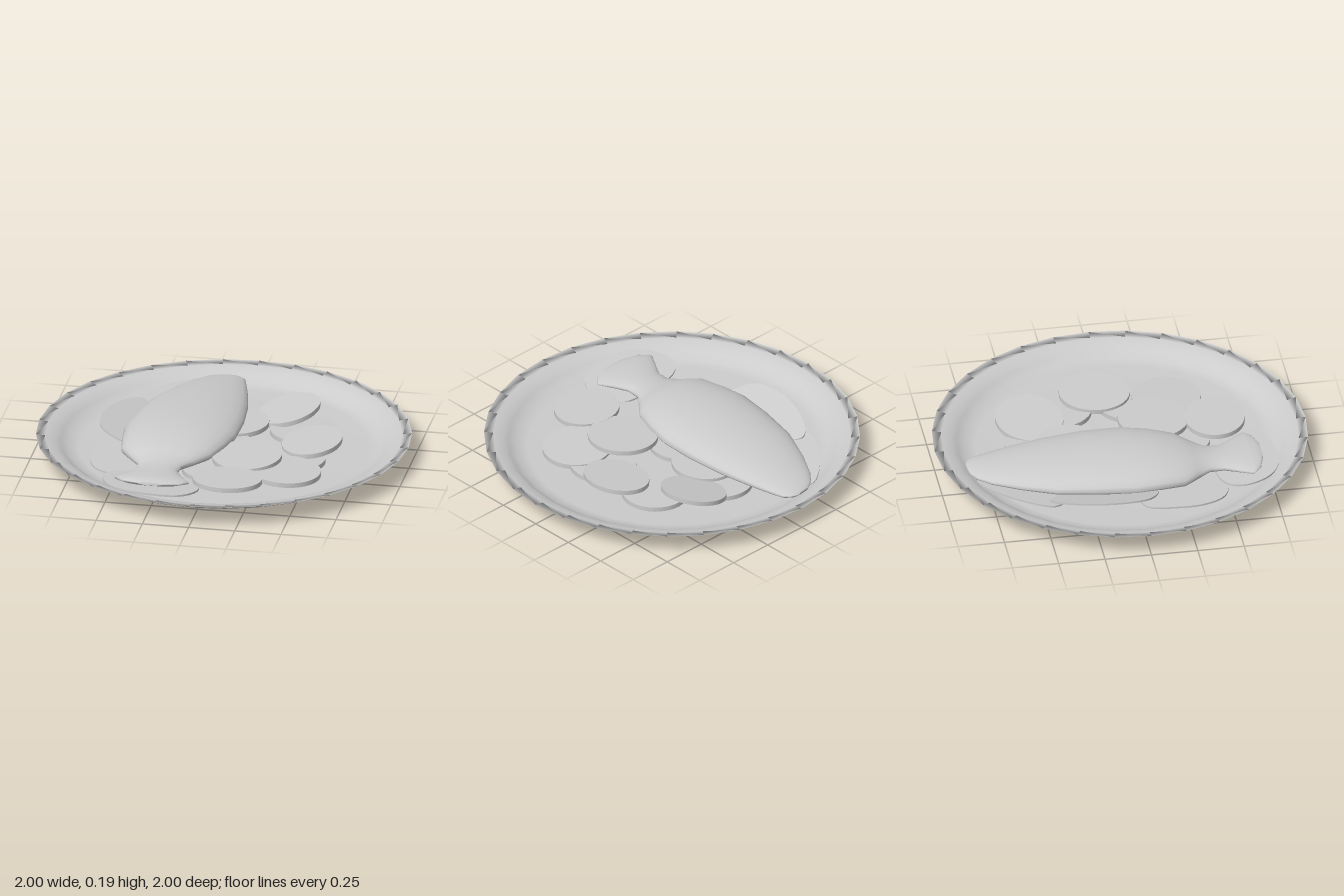
import * as THREE from 'three';

const material = new THREE.MeshStandardMaterial({ color: 0xcccccc, side: THREE.DoubleSide });

function addMesh(parent, name, geometry) {
  const mesh = new THREE.Mesh(geometry, material);
  mesh.name = name;
  parent.add(mesh);
  return mesh;
}

// Lean a flat piece: height changes linearly in x and z around a pivot.
function lean(geometry, cx, cz, y, sx, sz) {
  const p = geometry.attributes.position;
  for (let i = 0; i < p.count; i++) {
    p.setY(i, p.getY(i) + y + sx * (p.getX(i) - cx) + sz * (p.getZ(i) - cz));
  }
  geometry.computeVertexNormals();
  return geometry;
}

// Round vegetable slice with its top centre at height y.
function sliceGeometry([x, z, rx, rz, y, sx, sz]) {
  const thickness = 0.026;
  const g = new THREE.CylinderGeometry(1, 1, thickness, 32);
  g.scale(rx, 1, rz);
  g.translate(x, -thickness / 2, z);
  return lean(g, x, z, y, sx, sz);
}

// Thin leaf from a smooth closed outline of [x, z] points.
function leafGeometry(outline, cx, cz, y, sx, sz) {
  const curve = new THREE.CatmullRomCurve3(
    outline.map(([x, z]) => new THREE.Vector3(x, z, 0)), true, 'centripetal');
  const shape = new THREE.Shape(curve.getPoints(48).map((p) => new THREE.Vector2(p.x, p.y)));
  const g = new THREE.ExtrudeGeometry(shape, { depth: 0.01, bevelEnabled: false });
  g.rotateX(Math.PI / 2);
  return lean(g, cx, cz, y, sx, sz);
}

// Fish lofted through oval sections: [z, right edge, left edge, bottom, middle, top].
function fishGeometry(stations) {
  const sides = 24;
  const positions = [];
  const index = [];
  for (const [z, x0, x1, bottom, middle, top] of stations) {
    for (let j = 0; j < sides; j++) {
      const a = (j / sides) * Math.PI * 2;
      const s = Math.sin(a);
      positions.push(
        (x0 + x1) / 2 + Math.cos(a) * (x1 - x0) / 2,
        middle + s * (s > 0 ? top - middle : middle - bottom),
        z);
    }
  }
  for (let i = 0; i < stations.length - 1; i++) {
    for (let j = 0; j < sides; j++) {
      const k = (j + 1) % sides;
      const a = i * sides + j, b = i * sides + k;
      const c = a + sides, d = b + sides;
      index.push(a, b, c, b, d, c);
    }
  }
  const g = new THREE.BufferGeometry();
  g.setAttribute('position', new THREE.Float32BufferAttribute(positions, 3));
  g.setIndex(index);
  g.computeVertexNormals();
  return g;
}

export function createModel() {
  const model = new THREE.Group();
  model.name = 'fishPlate';

  // Plate: shallow underside, sloping rim and a stepped well
  const profile = [
    [0, 0], [0.4, 0.008], [0.72, 0.02], [0.8, 0.034], [0.86, 0.055], [1, 0.12],
    [0.95, 0.113], [0.9, 0.1], [0.87, 0.08], [0.83, 0.055], [0.77, 0.043], [0.4, 0.037], [0, 0.035],
  ].map(([r, y]) => new THREE.Vector2(r, y));
  addMesh(model, 'plate', new THREE.LatheGeometry(profile, 32));

  // Whole fish, nose at the back and tail at the front
  addMesh(model, 'fish', fishGeometry([
    [-0.85, -0.13, -0.1, 0.082, 0.085, 0.088],
    [-0.84, -0.2, -0.07, 0.07, 0.085, 0.096],
    [-0.81, -0.25, -0.04, 0.06, 0.085, 0.106],
    [-0.74, -0.31, -0.02, 0.052, 0.085, 0.12],
    [-0.6, -0.39, 0.015, 0.046, 0.09, 0.144],
    [-0.42, -0.47, 0.05, 0.042, 0.095, 0.168],
    [-0.2, -0.515, 0.07, 0.04, 0.1, 0.187],
    [0, -0.54, 0.065, 0.04, 0.1, 0.195],
    [0.14, -0.525, 0.03, 0.04, 0.1, 0.188],
    [0.27, -0.505, -0.02, 0.042, 0.095, 0.172],
    [0.35, -0.44, -0.09, 0.046, 0.09, 0.145],
    [0.42, -0.385, -0.15, 0.052, 0.088, 0.126],
    [0.5, -0.385, -0.155, 0.056, 0.09, 0.121],
    [0.57, -0.425, -0.115, 0.064, 0.095, 0.124],
    [0.645, -0.47, -0.065, 0.078, 0.1, 0.128],
    [0.69, -0.42, -0.11, 0.088, 0.106, 0.126],
    [0.715, -0.33, -0.2, 0.1, 0.11, 0.118],
  ]));

  // Overlapping round slices: [x, z, rx, rz, top height, slope in x, slope in z]
  const slices = new THREE.Group();
  slices.name = 'slices';
  model.add(slices);
  [
    [0.265, -0.445, 0.168, 0.182, 0.102, 0.22, -0.06],
    [0.465, -0.06, 0.16, 0.19, 0.097, 0.1, -0.03],
    [0.165, 0.205, 0.185, 0.19, 0.1, 0.03, -0.03],
    [0.395, 0.315, 0.187, 0.185, 0.078, -0.04, 0],
    [0.12, 0.53, 0.186, 0.16, 0.1, 0, 0.03],
    [0.38, -0.27, 0.18, 0.18, 0.068, 0, 0],
    [0.39, 0.12, 0.18, 0.18, 0.066, 0, 0],
    [0.06, -0.44, 0.17, 0.17, 0.066, 0, 0],
    [0.02, -0.27, 0.17, 0.18, 0.082, 0.02, 0],
    [-0.05, -0.03, 0.18, 0.18, 0.068, 0, 0],
    [-0.02, 0.33, 0.14, 0.15, 0.066, 0, 0],
  ].forEach((s, i) => addMesh(slices, `slice${i + 1}`, sliceGeometry(s)));

  // Leaves tucked along the side of the fish and below its tail
  const leaves = new THREE.Group();
  leaves.name = 'leaves';
  model.add(leaves);
  addMesh(leaves, 'backLeaf', leafGeometry(
    [[-0.25, -0.81], [-0.34, -0.77], [-0.48, -0.63], [-0.56, -0.5], [-0.57, -0.44], [-0.48, -0.36], [-0.3, -0.5], [-0.22, -0.7]],
    -0.4, -0.6, 0.075, -0.12, -0.08));
  addMesh(leaves, 'sideLeaf', leafGeometry(
    [[-0.51, -0.46], [-0.56, -0.44], [-0.65, -0.27], [-0.68, -0.1], [-0.65, 0.05], [-0.53, 0.12], [-0.4, 0.1], [-0.38, -0.25]],
    -0.68, -0.1, 0.135, -0.3, 0));
  addMesh(leaves, 'lowerLeaf', leafGeometry(
    [[-0.63, 0.04], [-0.665, 0.2], [-0.66, 0.34], [-0.6, 0.46], [-0.47, 0.505], [-0.35, 0.46], [-0.33, 0.2], [-0.45, 0.02]],
    -0.5, 0.3, 0.062, -0.03, 0));
  addMesh(leaves, 'tailLeaf', leafGeometry(
    [[-0.49, 0.49], [-0.54, 0.58], [-0.5, 0.71], [-0.41, 0.78], [-0.25, 0.8], [-0.1, 0.77], [-0.02, 0.65], [-0.06, 0.5], [-0.25, 0.45]],
    -0.27, 0.62, 0.076, -0.05, 0.09));

  return model;
}
